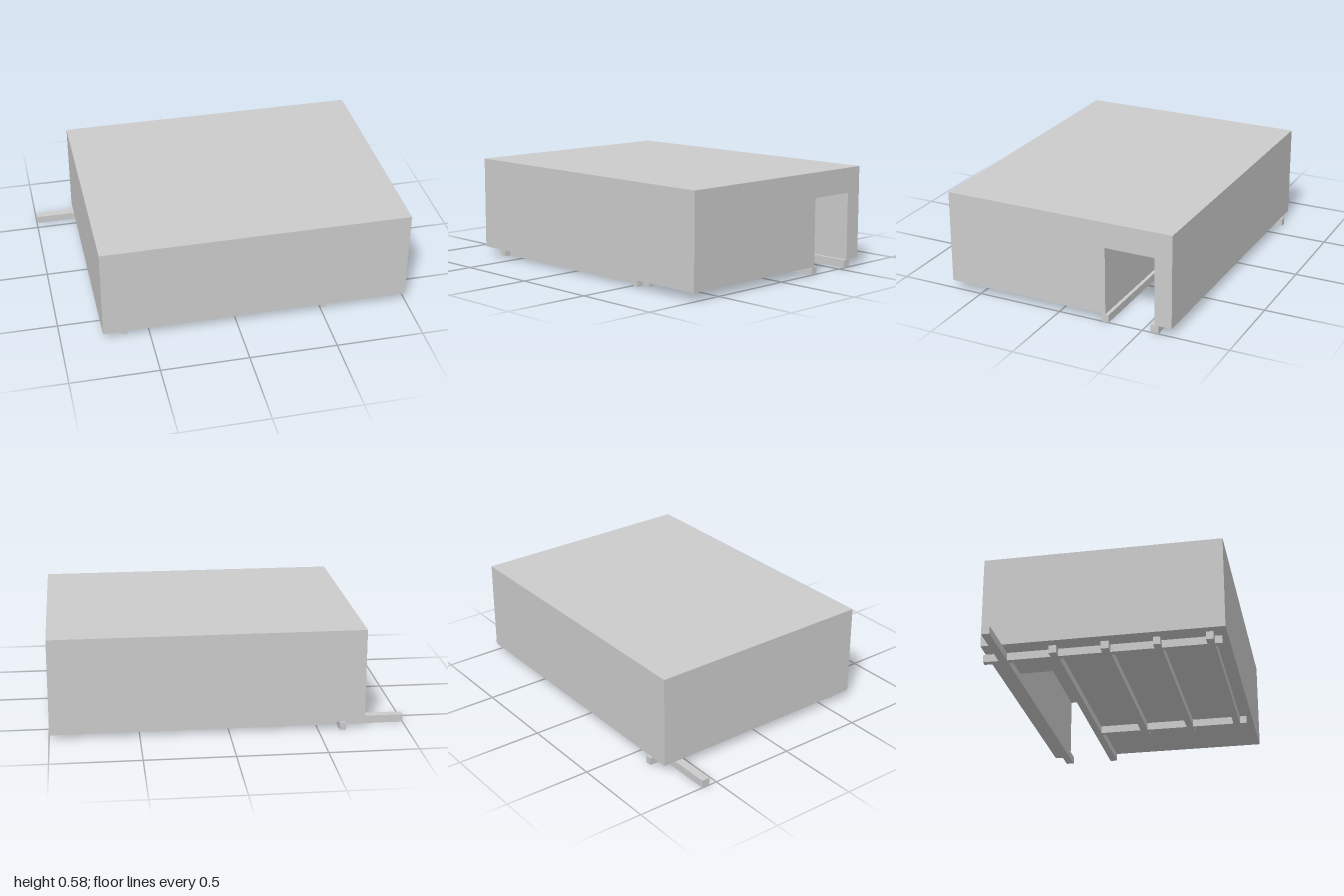
import * as THREE from 'three';

const material = new THREE.MeshStandardMaterial({ color: 0xcccccc, flatShading: true });

// Box given by its limits along each axis
function block(name, [x0, x1], [y0, y1], [z0, z1]) {
  const mesh = new THREE.Mesh(new THREE.BoxGeometry(x1 - x0, y1 - y0, z1 - z0), material);
  mesh.position.set((x0 + x1) / 2, (y0 + y1) / 2, (z0 + z1) / 2);
  mesh.name = name;
  return mesh;
}

export function createModel() {
  const model = new THREE.Group();
  model.name = 'raisedBlock';

  const left = -0.765, right = 0.998, base = 0.045, top = 0.58;
  const back = -0.67, front = 0.682;
  const slotBack = -0.57, slotFront = -0.28;

  // Solid parts on both sides of the slot
  const body = new THREE.Group();
  body.name = 'body';
  body.add(block('mainBlock', [left, right], [base, top], [slotFront, front]));
  body.add(block('backWall', [left, right], [base, top], [back, slotBack]));

  // Part above the slot: flat ceiling by the opening, then sloping down to the base
  const profile = new THREE.Shape([
    [left, base], [-0.37, base], [0.385, 0.435], [right, 0.435], [right, top], [left, top],
  ].map(([x, y]) => new THREE.Vector2(x, y)));
  const slotCover = new THREE.Mesh(
    new THREE.ExtrudeGeometry(profile, { depth: slotFront - slotBack, bevelEnabled: false }),
    material,
  );
  slotCover.position.z = slotBack;
  slotCover.name = 'slotCover';
  body.add(slotCover);
  model.add(body);

  // Beams under the body: [z0, z1, x0, x1]
  const frame = new THREE.Group();
  frame.name = 'baseFrame';
  [
    [0.57, 0.61, -0.715, 0.585],
    [0.28, 0.32, -0.705, 0.615],
    [-0.01, 0.035, -0.705, 0.615],
    [-0.3, -0.257, -0.705, 1],
    [-0.595, -0.548, -1, 0.998],
  ].forEach(([z0, z1, x0, x1], i) => {
    frame.add(block(`longBeam${i + 1}`, [x0, x1], [0, base], [z0, z1]));
  });

  // Cross beams
  frame.add(block('crossBeamLeft', [-0.655, -0.62], [0, base], [-0.685, 0.65]));
  frame.add(block('crossBeamRight', [0.505, 0.54], [0, base], [-0.3, 0.65]));
  model.add(frame);

  return model;
}
